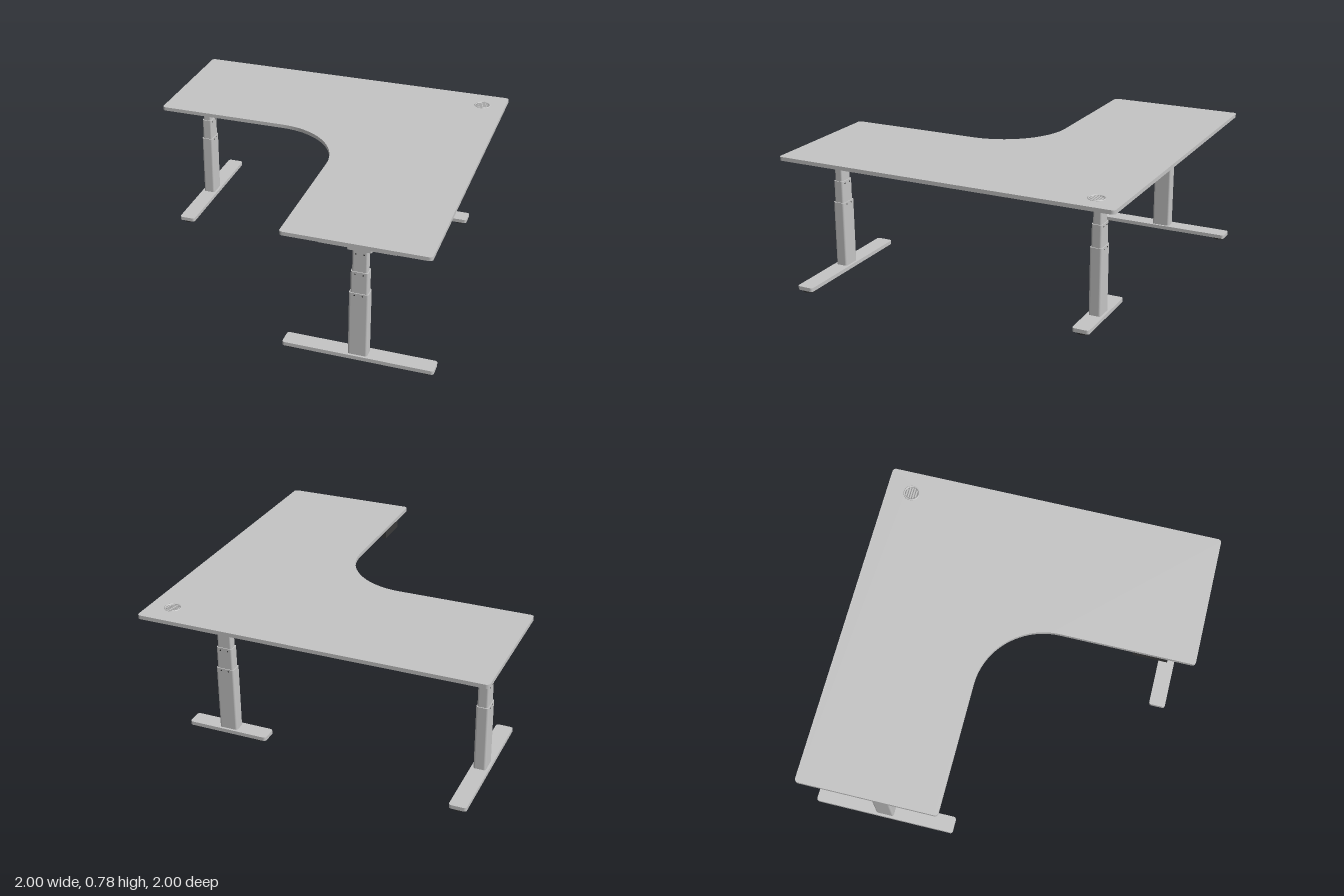
import * as THREE from 'three';

const mat = (name, color) => {
  const m = new THREE.MeshStandardMaterial({ color });
  m.name = name;
  return m;
};

export function createModel() {
  const grey = mat('lightGrey', 0xc4c4c4);
  const midGrey = mat('midGrey', 0x8c8c8c);
  const dark = mat('darkGrey', 0x3a3a3a);
  const desk = new THREE.Group();
  desk.name = 'cornerDesk';

  const add = (parent, name, geo, material, x = 0, y = 0, z = 0) => {
    const m = new THREE.Mesh(geo, material);
    m.name = name;
    m.position.set(x, y, z);
    parent.add(m);
    return m;
  };
  // Box given by its bottom height
  const box = (parent, name, material, w, h, d, x, y, z) =>
    add(parent, name, new THREE.BoxGeometry(w, h, d), material, x, y + h / 2, z);

  // Upright prism from a plan shape drawn in (x, -z)
  const prism = (shape, h) =>
    new THREE.ExtrudeGeometry(shape, { depth: h, bevelEnabled: false, curveSegments: 12 }).rotateX(-Math.PI / 2);

  const roundedRect = (w, d, r) => {
    const s = new THREE.Shape(), a = w / 2, b = d / 2;
    s.absarc(a - r, b - r, r, 0, Math.PI / 2);
    s.absarc(-a + r, b - r, r, Math.PI / 2, Math.PI);
    s.absarc(-a + r, -b + r, r, Math.PI, Math.PI * 1.5);
    s.absarc(a - r, -b + r, r, Math.PI * 1.5, Math.PI * 2);
    s.closePath();
    return s;
  };
  const slab = (parent, name, material, w, h, d, r, y, x = 0, z = 0) =>
    add(parent, name, prism(roundedRect(w, d, r), h), material, x, y, z);

  // L-shaped worktop with a curved inner corner
  const L = new THREE.Shape(), r = 0.02, q = Math.PI / 2;
  L.absarc(0.98 - r, 0.985 - r, r, 0, q);
  L.absarc(-1 + r, 0.985 - r, r, q, 2 * q);
  L.absarc(-1 + r, 0.182 + r, r, 2 * q, 3 * q);
  L.absarc(-0.22, -0.218, 0.4, q, 0, true);
  L.absarc(0.18 + r, -0.995 + r, r, 2 * q, 3 * q);
  L.absarc(0.98 - r, -0.995 + r, r, 3 * q, 4 * q);
  L.closePath();
  const hole = new THREE.Path();
  hole.absarc(0.845, 0.835, 0.045, 0, Math.PI * 2, true);
  L.holes.push(hole);
  add(desk, 'worktop', prism(L, 0.022), grey, 0, 0.757, 0);

  // Cable grommet: rim, recessed cap and slots
  const grommet = new THREE.Group();
  grommet.name = 'cableGrommet';
  grommet.position.set(0.845, 0.757, -0.835);
  desk.add(grommet);
  const rim = add(grommet, 'grommetRim', new THREE.TorusGeometry(0.044, 0.005, 8, 32), grey, 0, 0.021, 0);
  rim.rotation.x = Math.PI / 2;
  add(grommet, 'grommetCap', new THREE.CylinderGeometry(0.046, 0.046, 0.02, 32), midGrey, 0, 0.01, 0);
  for (let i = -2; i <= 2; i++) {
    const len = 2 * Math.sqrt(0.036 ** 2 - (i * 0.014) ** 2);
    box(grommet, 'grommetRib', grey, len, 0.003, 0.008, 0, 0.02, i * 0.014);
  }

  // Trapezoid support under the worktop
  const support = new THREE.Shape([[-0.25, 0.757], [-0.205, 0.72], [0.205, 0.72], [0.25, 0.757]]
    .map(p => new THREE.Vector2(...p)));
  const supportGeo = new THREE.ExtrudeGeometry(support, { depth: 0.03, bevelEnabled: false });

  // Lifting leg: wide along local x, motor pointing to local +z
  const leg = (name, x, z, turn, footLength, supportZ) => {
    const g = new THREE.Group();
    g.name = name;
    g.position.set(x, 0, z);
    g.rotation.y = turn;
    desk.add(g);
    slab(g, 'foot', grey, footLength, 0.022, 0.098, 0.015, 0.014);
    for (const s of [-1, 1]) {
      add(g, 'footPad', new THREE.CylinderGeometry(0.04, 0.036, 0.014, 24), dark, s * (footLength / 2 - 0.046), 0.007, 0);
    }
    slab(g, 'lowerColumn', grey, 0.108, 0.387, 0.07, 0.012, 0.035);
    slab(g, 'middleColumn', grey, 0.096, 0.13, 0.06, 0.011, 0.42);
    slab(g, 'upperColumn', grey, 0.084, 0.14, 0.05, 0.01, 0.549);
    // Screws on both broad faces
    for (const [sy, sz] of [[0.41, 0.0355], [0.535, 0.0305], [0.655, 0.0255]]) {
      for (const s of [-1, 1]) for (const sx of [-0.022, 0.022]) {
        const screw = add(g, 'screw', new THREE.CylinderGeometry(0.004, 0.004, 0.002, 10), dark, sx, sy, s * sz);
        screw.rotation.x = Math.PI / 2;
      }
    }
    // Head bracket and motor housing
    slab(g, 'headBracket', grey, 0.135, 0.034, 0.085, 0.01, 0.684);
    box(g, 'headSpacer', grey, 0.16, 0.012, 0.06, 0, 0.716, 0);
    slab(g, 'motorCover', grey, 0.085, 0.02, 0.2, 0.015, 0.7, 0, 0.118);
    slab(g, 'motorBody', dark, 0.075, 0.014, 0.15, 0.012, 0.687, 0, 0.122);
    add(g, 'sideSupport', supportGeo, grey, 0, 0, supportZ);
  };
  leg('leftWingLeg', -0.865, -0.58, Math.PI / 2, 0.84, -0.075);
  leg('frontWingLeg', 0.58, 0.86, Math.PI, 0.84, -0.08);
  leg('cornerLeg', 0.58, -0.745, 0, 0.48, -0.085);

  // Telescopic rails: thick sleeves at the ends, thin tube between them
  const rails = (name, along, centre, from, to, sleeveA, sleeveB) => {
    const g = new THREE.Group();
    g.name = name;
    desk.add(g);
    const bar = (part, a, b, side, w, h, y) => {
      const mid = (a + b) / 2, c = centre + side * 0.075;
      if (along === 'x') box(g, part, grey, b - a, h, w, mid, y, c);
      else box(g, part, grey, w, h, b - a, c, y, mid);
    };
    for (const s of [-1, 1]) {
      bar('railSleeve', from, sleeveA, s, 0.034, 0.033, 0.721);
      bar('railSleeve', sleeveB, to, s, 0.034, 0.033, 0.721);
      bar('railTube', sleeveA, sleeveB, s, 0.024, 0.022, 0.73);
      // Fixing tabs up against the worktop
      for (const t of [sleeveA - 0.09, sleeveB + 0.09]) bar('railTab', t - 0.02, t + 0.02, s, 0.055, 0.006, 0.751);
    }
  };
  rails('leftWingRails', 'x', -0.58, -0.91, 0.495, -0.35, 0.33);
  rails('frontWingRails', 'z', 0.08 + 0.5, -0.8, 0.91, -0.23, 0.3);

  // Power strip slung between the front wing rails
  const strip = new THREE.Group();
  strip.name = 'powerStrip';
  desk.add(strip);
  box(strip, 'stripTray', midGrey, 0.1, 0.026, 0.25, 0.575, 0.704, 0.065);
  for (const z of [0.13, 0.065, 0]) {
    box(strip, 'socket', dark, 0.075, 0.024, 0.035, 0.575, 0.698, z);
    box(strip, 'socketSide', dark, 0.104, 0.02, 0.035, 0.575, 0.707, z);
  }
  for (const z of [-0.04, 0.17]) box(strip, 'stripHanger', grey, 0.15, 0.008, 0.02, 0.575, 0.728, z);

  // Height control handset under the inner edge
  box(desk, 'handset', dark, 0.024, 0.056, 0.2, 0.2, 0.701, 0.74);

  return desk;
}
